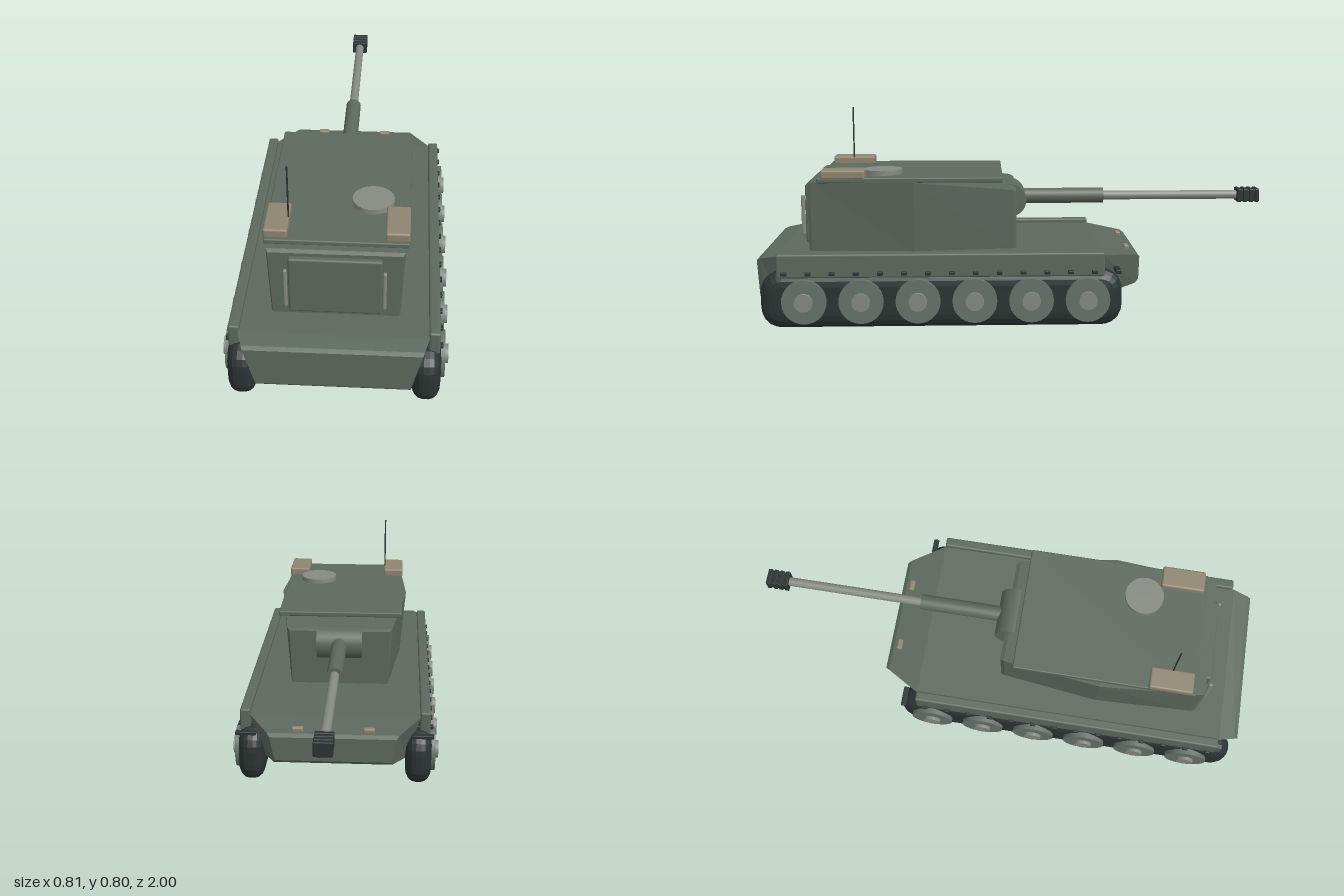
import * as THREE from 'three';
import { RoundedBoxGeometry } from 'three/addons/geometries/RoundedBoxGeometry.js';

const paint = (name, color) => {
  const m = new THREE.MeshStandardMaterial({ color });
  m.name = name;
  return m;
};

// Lofts trapezoid sections [z, halfTop, halfBottom, topY, bottomY], ordered by rising z
function loft(sections) {
  const pos = [], idx = [];
  for (const [z, t, b, y1, y0] of sections) {
    pos.push(-b, y0, z, b, y0, z, t, y1, z, -t, y1, z);
  }
  const n = sections.length;
  for (let i = 0; i < n - 1; i++) {
    for (let j = 0; j < 4; j++) {
      const a = i * 4 + j, b = i * 4 + (j + 1) % 4;
      idx.push(a, b, b + 4, a, b + 4, a + 4);
    }
  }
  const e = (n - 1) * 4;
  idx.push(0, 2, 1, 0, 3, 2, e, e + 1, e + 2, e, e + 2, e + 3);
  const indexed = new THREE.BufferGeometry();
  indexed.setAttribute('position', new THREE.Float32BufferAttribute(pos, 3));
  indexed.setIndex(idx);
  const g = indexed.toNonIndexed();
  g.computeVertexNormals();
  return g;
}

// Rounded running gear: a soft-cornered side profile extruded across x
function trackGeometry() {
  const bevel = 0.055, hz = 0.69 - bevel, hy = 0.11 - bevel, r = 0.03;
  const s = new THREE.Shape();
  s.moveTo(-hz + r, -hy);
  s.lineTo(hz - r, -hy);
  s.quadraticCurveTo(hz, -hy, hz, -hy + r);
  s.lineTo(hz, hy - r);
  s.quadraticCurveTo(hz, hy, hz - r, hy);
  s.lineTo(-hz + r, hy);
  s.quadraticCurveTo(-hz, hy, -hz, hy - r);
  s.lineTo(-hz, -hy + r);
  s.quadraticCurveTo(-hz, -hy, -hz + r, -hy);
  const g = new THREE.ExtrudeGeometry(s, {
    depth: 0.02, bevelThickness: 0.041, bevelSize: bevel, bevelSegments: 4, curveSegments: 5,
  });
  g.center();
  g.rotateY(-Math.PI / 2);
  return g;
}

export function createModel() {
  const green = paint('hull green', 0x5c695e);
  const wheelGreen = paint('wheel green', 0x66736a);
  const dark = paint('track black', 0x2a3333);
  const steel = paint('bare steel', 0x858a83);
  const tan = paint('stowage tan', 0x8f8570);

  const model = new THREE.Group();
  model.name = 'tank';
  const add = (name, geo, mat, x = 0, y = 0, z = 0) => {
    const m = new THREE.Mesh(geo, mat);
    m.name = name;
    m.position.set(x, y, z);
    model.add(m);
    return m;
  };
  const box = (w, h, d, r = 0.005) => new RoundedBoxGeometry(w, h, d, 2, r);
  const rodX = (r, len, seg = 24) => new THREE.CylinderGeometry(r, r, len, seg).rotateZ(Math.PI / 2);
  const rodZ = (r, len, seg = 24) => new THREE.CylinderGeometry(r, r, len, seg).rotateX(Math.PI / 2);

  // Hull with a tapered nose
  add('hull', loft([
    [-0.48, 0.24, 0.22, 0.245, 0.15],
    [-0.465, 0.25, 0.225, 0.256, 0.135],
    [-0.33, 0.332, 0.275, 0.272, 0.1],
    [0.92, 0.332, 0.275, 0.275, 0.09],
    [0.98, 0.315, 0.272, 0.266, 0.09],
    [0.995, 0.31, 0.27, 0.258, 0.108],
  ]), green);

  // Running gear on both sides
  const trackGeo = trackGeometry();
  for (const s of [1, -1]) {
    const side = s > 0 ? 'left' : 'right';
    add(side + 'Track', trackGeo, dark, s * 0.325, 0.11, 0.29);
    add(side + 'Skirt', box(0.04, 0.093, 1.245, 0.008), green, s * 0.35, 0.244, 0.292);
    for (let i = 0; i < 6; i++) {
      const z = 0.81 - i * 0.215;
      add(side + 'Wheel', rodX(0.085, 0.04, 28), wheelGreen, s * 0.371, 0.11, z);
      add(side + 'WheelHub', rodX(0.035, 0.03, 20), steel, s * 0.389, 0.11, z);
    }
    for (let i = 0; i < 15; i++) {
      add(side + 'SkirtBolt', box(0.08, 0.014, 0.022, 0.003), dark, s * 0.341, 0.216, 0.885 - i * 0.0905);
    }
    add(side + 'Headlight', box(0.045, 0.022, 0.022, 0.006), tan, s * 0.135, 0.262, -0.44);
    add(side + 'StowageBox', box(0.085, 0.036, 0.17, 0.008), tan, s * 0.212, 0.575, 0.67);
    add(side + 'DoorHandle', box(0.013, 0.157, 0.016), steel, s * 0.172, 0.407, 0.834);
  }

  // Turret, widest at the middle, roof falling towards the gun
  add('turret', loft([
    [0.0, 0.205, 0.195, 0.5, 0.27],
    [0.015, 0.215, 0.2, 0.508, 0.27],
    [0.4, 0.27, 0.246, 0.545, 0.27],
    [0.795, 0.24, 0.228, 0.546, 0.27],
    [0.808, 0.234, 0.222, 0.538, 0.27],
  ]), green);
  add('roofPlate', box(0.505, 0.02, 0.715), green, 0, 0.553, 0.412);
  add('rearDoor', box(0.326, 0.23, 0.036, 0.008), green, 0, 0.41, 0.81);
  add('hatch', new THREE.CylinderGeometry(0.076, 0.076, 0.022, 32), steel, 0.12, 0.57, 0.525);
  add('antenna', new THREE.CylinderGeometry(0.003, 0.003, 0.23, 8), dark, -0.173, 0.685, 0.67);

  // Gun pointing to -z
  add('mantlet', rodX(0.066, 0.186, 28), green, 0, 0.446, 0.023);
  add('gunSleeve', rodZ(0.031, 0.36), green, 0, 0.45, -0.18);
  add('gunBarrel', rodZ(0.018, 0.58), steel, 0, 0.45, -0.64);
  add('muzzleBrake', box(0.058, 0.048, 0.09), dark, 0, 0.45, -0.955);
  for (let i = 0; i < 4; i++) {
    add('muzzleRib', box(0.066, 0.054, 0.018, 0.004), dark, 0, 0.45, -0.919 - i * 0.024);
  }
  return model;
}
